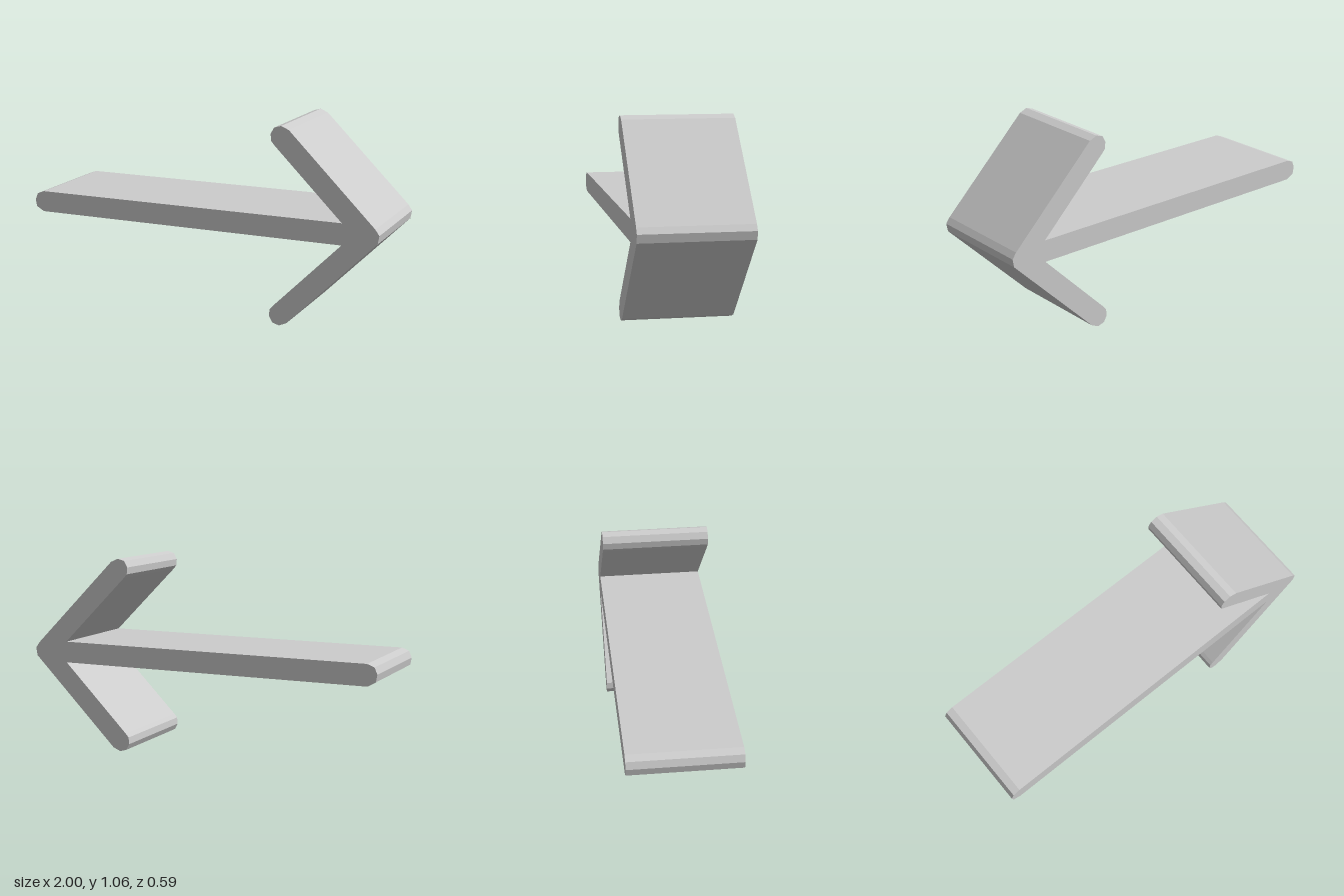
import * as THREE from 'three';

export function createModel() {
  const group = new THREE.Group();
  group.name = 'arrow';
  const grey = new THREE.MeshStandardMaterial({ color: 0xcccccc });
  grey.name = 'light grey';

  const midY = 0.53, depth = 0.586;

  // Upper barb: faceted round end, then the inner corner at the shaft
  const barb = [
    [0.51, 1.042], [0.468, 1.06], [0.43, 1.049], [0.411, 1.015],
    [0.415, 0.978], [0.432, 0.958], [0.802, 0.588],
  ];
  const lowerBarb = barb.map(([x, y]) => [x, 2 * midY - y]).reverse();

  // Faceted ends of the shaft and of the tip
  const tail = [[-0.945, 0.588], [-0.985, 0.573], [-1, 0.537], [-0.993, 0.498], [-0.95, 0.473]];
  const tip = [[0.992, 0.499], [1, 0.543], [0.978, 0.574]];

  // One outline running counter-clockwise, extruded across the depth
  const outline = [...barb, ...tail, ...lowerBarb, ...tip].map(([x, y]) => new THREE.Vector2(x, y));
  const geometry = new THREE.ExtrudeGeometry(new THREE.Shape(outline), { depth, bevelEnabled: false });
  geometry.translate(0, 0, -depth / 2);

  const arrow = new THREE.Mesh(geometry, grey);
  arrow.name = 'arrowBody';
  group.add(arrow);
  return group;
}
